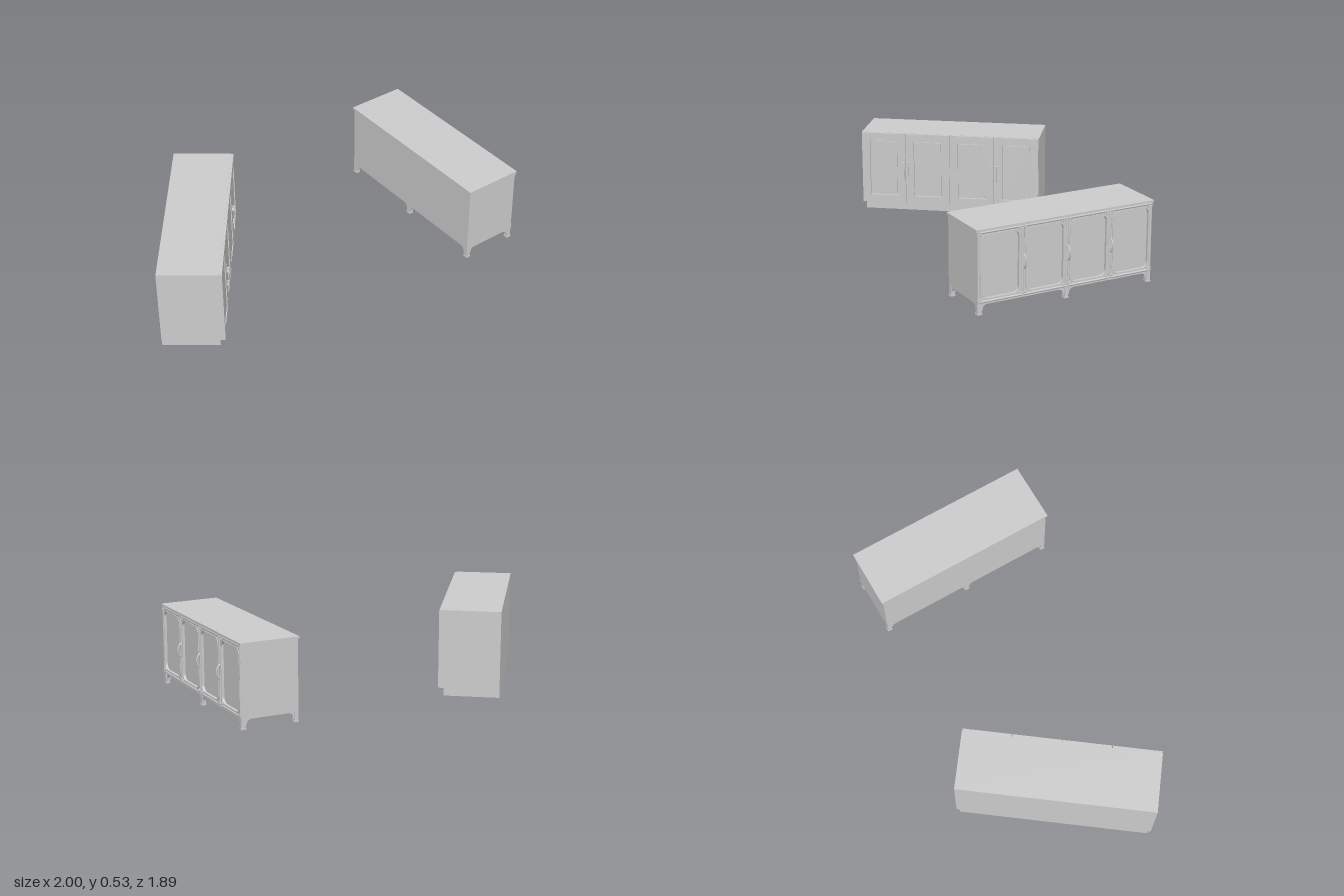
import * as THREE from 'three';

const mat = new THREE.MeshStandardMaterial({ color: 0xcccccc, side: THREE.DoubleSide });

function add(parent, name, geo, x = 0, y = 0, z = 0) {
  const m = new THREE.Mesh(geo, mat);
  m.name = name;
  m.position.set(x, y, z);
  parent.add(m);
  return m;
}
const box = (p, name, w, h, d, x, y, z) => add(p, name, new THREE.BoxGeometry(w, h, d), x, y, z);

// rectangle centred on the origin, with rounded corners when r > 0
function rect(w, h, r, Type = THREE.Shape) {
  const s = new Type(), a = w / 2, b = h / 2;
  s.moveTo(-a + r, -b);
  s.lineTo(a - r, -b);
  if (r) s.absarc(a - r, -b + r, r, -Math.PI / 2, 0);
  s.lineTo(a, b - r);
  if (r) s.absarc(a - r, b - r, r, 0, Math.PI / 2);
  s.lineTo(-a + r, b);
  if (r) s.absarc(-a + r, b - r, r, Math.PI / 2, Math.PI);
  s.lineTo(-a, -b + r);
  if (r) s.absarc(-a + r, -b + r, r, Math.PI, Math.PI * 1.5);
  return s;
}
function frame(w, h, iw, ih, r, depth, outerR = 0) {
  const s = rect(w, h, outerR);
  s.holes.push(rect(iw, ih, r, THREE.Path));
  return new THREE.ExtrudeGeometry(s, { depth, bevelEnabled: false, curveSegments: 6 });
}

// Plain cabinet, built facing +z
function plinthCabinet() {
  const g = new THREE.Group();
  g.name = 'plinthCabinet';
  const L = 1.12, D = 0.35, y0 = 0.07, H = 0.455, cy = y0 + H / 2, t = 0.014;
  box(g, 'carcass', L, H, D - t, 0, cy, -t / 2);

  // open plinth ring under the carcass, set back from the doors
  const plinth = add(g, 'plinth', frame(1.085, 0.32, 1.035, 0.27, 0, 0.05), -0.002, 0.07, -0.015);
  plinth.rotation.x = Math.PI / 2;

  const cell = L / 4;
  for (let i = 0; i < 4; i++) {
    const x = (i - 1.5) * cell, w = cell - 0.004;
    const door = new THREE.Group();
    door.name = 'door';
    door.position.set(x, cy, D / 2 - t);
    g.add(door);
    add(door, 'doorFrame', frame(w, H - 0.003, w - 0.1, 0.355, 0, t));
    box(door, 'doorPanel', w - 0.108, 0.347, 0.008, 0, 0, 0.005);
  }
  // paired loop handles across each two-door seam
  for (const seam of [-cell, cell]) for (const s of [-1, 1]) {
    const h = add(g, 'handle', frame(0.018, 0.1, 0.008, 0.084, 0, 0.018), seam + s * 0.013, 0.29, D / 2 + 0.001);
    h.geometry = frame(0.026, 0.1, 0.016, 0.086, 0, 0.016);
    h.rotation.y = Math.PI / 2;
    h.position.x -= 0.008;
  }
  return g;
}

// One bracketed apron spanning two legs, hanging from the carcass
function apron(span) {
  const a = span / 2, r = 0.04, top = 0.07, low = 0.055;
  const s = new THREE.Shape();
  s.moveTo(-a, top);
  s.lineTo(-a, 0.02);
  s.lineTo(-a + 0.008, 0.02);
  s.quadraticCurveTo(-a + 0.008, low, -a + r, low);
  s.lineTo(a - r, low);
  s.quadraticCurveTo(a - 0.008, low, a - 0.008, 0.02);
  s.lineTo(a, 0.02);
  s.lineTo(a, top);
  const geo = new THREE.ExtrudeGeometry(s, { depth: 0.016, bevelEnabled: false, curveSegments: 8 });
  return geo.translate(0, 0, -0.008);
}

// Cabinet on bracket legs, built facing +z
function leggedCabinet() {
  const g = new THREE.Group();
  g.name = 'leggedCabinet';
  const L = 1.09, D = 0.34, y0 = 0.065, y1 = 0.467, H = y1 - y0, cy = (y0 + y1) / 2;
  const zf = D / 2, t = 0.012, cell = L / 4;
  box(g, 'carcass', L, H, D - t, 0, cy, -t / 2);
  box(g, 'topBoard', 1.106, 0.013, 0.352, 0, y1 + 0.0065, 0);

  // legs and aprons
  const lx = L / 2 - 0.012, lz = D / 2 - 0.012;
  for (const sz of [-1, 1]) {
    for (const x of [-lx, 0, lx]) {
      box(g, 'leg', 0.024, 0.07, 0.024, x, 0.035, sz * lz);
      box(g, 'foot', 0.029, 0.008, 0.029, x, 0.004, sz * lz);
    }
    for (const s of [-1, 1]) add(g, 'longApron', apron(lx - 0.022), s * lx / 2, 0, sz * lz);
  }
  for (const s of [-1, 1]) {
    add(g, 'endApron', apron(2 * lz - 0.022), s * lx, 0, 0).rotation.y = Math.PI / 2;
  }

  // four doors with rounded openings, edge moulding and corner bosses
  for (let i = 0; i < 4; i++) {
    const door = new THREE.Group();
    door.name = 'door';
    door.position.set((i - 1.5) * cell, cy, zf - t);
    g.add(door);
    const w = cell, ow = 0.226, oh = 0.352;
    add(door, 'doorFrame', frame(w, H, ow, oh, 0.035, t));
    add(door, 'doorMoulding', frame(ow + 0.012, oh + 0.012, ow - 0.002, oh - 0.002, 0.034, t + 0.004, 0.04));
    for (const sx of [-1, 1]) for (const sy of [-1, 1]) {
      const boss = add(door, 'cornerBoss', new THREE.CylinderGeometry(0.007, 0.009, 0.006, 10),
        sx * (w / 2 - 0.019), sy * (H / 2 - 0.019), t + 0.002);
      boss.rotation.x = Math.PI / 2;
    }
  }

  // half-round posts with rings, and matching rails
  for (let i = 0; i <= 4; i++) {
    const x = Math.max(-L / 2 + 0.008, Math.min(L / 2 - 0.008, (i - 2) * cell));
    add(g, 'post', new THREE.CylinderGeometry(0.008, 0.008, H, 10), x, cy, zf - 0.002);
    for (const y of [y0 + 0.02, y1 - 0.02]) {
      add(g, 'postRing', new THREE.CylinderGeometry(0.011, 0.011, 0.012, 10), x, y, zf - 0.002);
    }
  }
  for (const y of [y0 + 0.007, y1 - 0.007]) {
    add(g, 'rail', new THREE.CylinderGeometry(0.007, 0.007, L, 10), 0, y, zf - 0.002).rotation.z = Math.PI / 2;
  }

  // bowed handles at the three seams
  for (const i of [-1, 0, 1]) {
    const pts = [[-0.04, 0], [-0.03, 0.013], [0, 0.022], [0.03, 0.013], [0.04, 0]];
    const curve = new THREE.CatmullRomCurve3(pts.map(([y, z]) => new THREE.Vector3(0, y, z)));
    add(g, 'handle', new THREE.TubeGeometry(curve, 16, 0.005, 8), i * cell + 0.006, 0.262, zf + 0.002);
    box(g, 'handlePlate', 0.016, 0.08, 0.004, i * cell + 0.006, 0.262, zf + 0.005);
  }
  return g;
}

export function createModel() {
  const model = new THREE.Group();
  model.name = 'cabinetPair';

  const a = plinthCabinet();
  a.rotation.y = Math.PI / 2;
  a.position.set(-0.825, 0, 0.38);
  // plinth floor sits slightly above the legged cabinet's feet
  const b = leggedCabinet();
  b.rotation.y = 2.215;
  b.position.set(0.523, 0, -0.4);

  model.add(a, b);
  return model;
}
